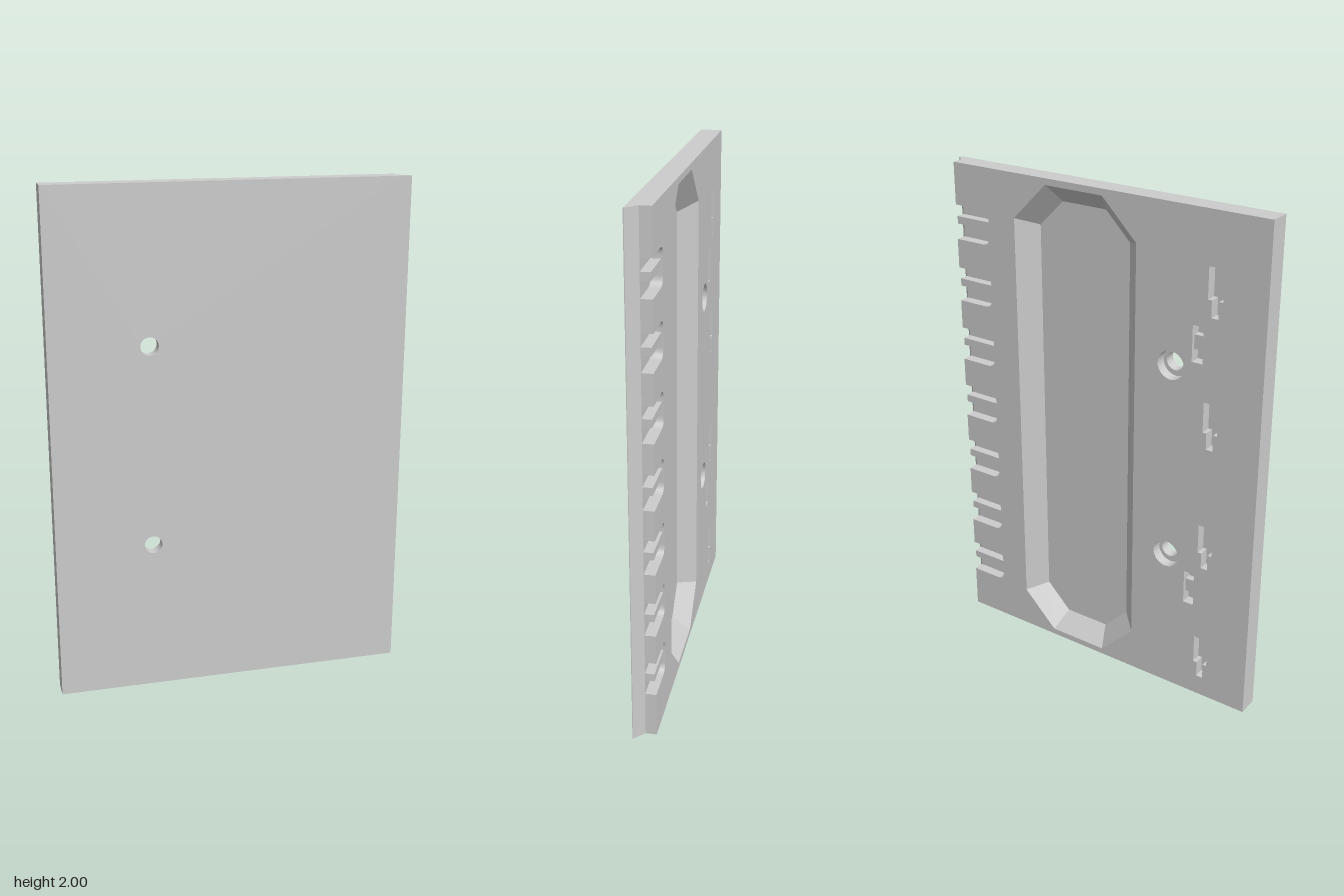
import * as THREE from 'three';

const BACK = -0.042, MID = 0, FLOOR = 0.028, FRONT = 0.042;
const LEFT = 0.66, RIGHT = -0.7;
const NOTCHES = Array.from({ length: 7 }, (_, i) => 0.178 + i * 0.2533); // bottom edges
const SCREWS = [0.605, 1.4];
const V = (x, y) => new THREE.Vector2(x, y);

// Octagon of the large pocket, inset evenly by d
function octagon(d) {
  const cx = 0.1025, cy = 1, w = 0.2725 - d, h = 0.975 - d, c = 0.147 - d * 0.586;
  return [[w, -h + c], [w, h - c], [w - c, h], [-w + c, h], [-w, h - c], [-w, -h + c], [-w + c, -h], [w - c, -h]]
    .map(([x, y]) => V(cx + x, cy + y));
}

const circle = (x, y, r) => {
  const p = new THREE.Path();
  p.absarc(x, y, r, 0, Math.PI * 2, true);
  return p;
};

// Plate outline, optionally with round-ended notches on the left edge
function outline(notched) {
  const s = new THREE.Shape();
  s.moveTo(RIGHT, 0);
  s.lineTo(LEFT, 0);
  if (notched) for (const y of NOTCHES) {
    const t = y + 0.137, r = 0.035;
    s.lineTo(LEFT, y);
    s.lineTo(0.5 + r, y);
    s.quadraticCurveTo(0.5, y, 0.5, y + r);
    s.lineTo(0.5, t - r);
    s.quadraticCurveTo(0.5, t, 0.5 + r, t);
    s.lineTo(LEFT, t);
  }
  s.lineTo(LEFT, 2);
  s.lineTo(RIGHT, 2);
  s.closePath();
  return s;
}

export function createModel() {
  const group = new THREE.Group();
  const grey = new THREE.MeshStandardMaterial({ color: 0xcccccc });
  grey.name = 'light grey';
  const add = (name, geo) => {
    const m = new THREE.Mesh(geo, grey);
    m.name = name;
    group.add(m);
    return m;
  };
  const layer = (name, shape, z0, z1) => {
    const g = new THREE.ExtrudeGeometry(shape, { depth: z1 - z0, bevelEnabled: false, curveSegments: 16 });
    return add(name, g.translate(0, 0, z0));
  };
  const block = (name, x0, x1, y0, y1, z0, z1) => add(name,
    new THREE.BoxGeometry(x1 - x0, y1 - y0, z1 - z0)
      .translate((x0 + x1) / 2, (y0 + y1) / 2, (z0 + z1) / 2));

  // Front skin
  const skin = outline(false);
  SCREWS.forEach(y => skin.holes.push(circle(-0.318, y, 0.035)));
  layer('frontPanel', skin, FLOOR, FRONT);

  // Middle layer, open at the pocket
  const mid = outline(false);
  mid.holes.push(new THREE.Path(octagon(0)));
  SCREWS.forEach(y => mid.holes.push(circle(-0.318, y, 0.035)));
  layer('middleLayer', mid, MID, FLOOR);

  // Back layer with notches, counterbores and slots
  const back = outline(true);
  back.holes.push(new THREE.Path(octagon(0)));
  SCREWS.forEach(y => back.holes.push(circle(-0.325, y, 0.056)));
  for (let i = 0; i < 4; i++) {
    const t = 1.8 - i * 0.51, x = -0.497;
    back.holes.push(new THREE.Path([
      V(x - 0.03, t), V(x + 0.03, t), V(x + 0.03, t - 0.12), V(x + 0.014, t - 0.12),
      V(x + 0.014, t - 0.185), V(x - 0.014, t - 0.185), V(x - 0.014, t - 0.12), V(x - 0.03, t - 0.12)]));
  }
  for (const t of [1.575, 0.555]) {
    back.holes.push(new THREE.Path([
      V(-0.455, t), V(-0.411, t), V(-0.411, t - 0.14), V(-0.455, t - 0.14)]));
    block('slotBridge', -0.455, -0.411, t - 0.095, t - 0.04, -0.028, MID);
  }
  layer('backLayer', back, BACK, MID);

  // Sloping pocket walls
  const rim = octagon(0), foot = octagon(0.071), pos = [];
  rim.forEach((a, i) => {
    const j = (i + 1) % 8, b = rim[j], c = foot[j], d = foot[i];
    const A = [a.x, a.y, BACK], B = [b.x, b.y, BACK], C = [c.x, c.y, FLOOR], D = [d.x, d.y, FLOOR];
    pos.push(...A, ...C, ...B, ...A, ...D, ...C);
  });
  const walls = new THREE.BufferGeometry();
  walls.setAttribute('position', new THREE.Float32BufferAttribute(pos, 3));
  walls.computeVertexNormals();
  add('pocketWalls', walls);
  grey.side = THREE.DoubleSide;

  // Slanted lip along the left edge
  const lip = new THREE.Shape([V(LEFT, -MID), V(LEFT, -FRONT), V(0.7, -FRONT), V(0.7, -0.039)]);
  add('sideLip', new THREE.ExtrudeGeometry(lip, { depth: 2, bevelEnabled: false }).rotateX(-Math.PI / 2)
  );

  // Rib across each notch
  for (const y of NOTCHES) block('notchRib', 0.5, LEFT, y + 0.06, y + 0.09, -0.036, MID);

  return group;
}
